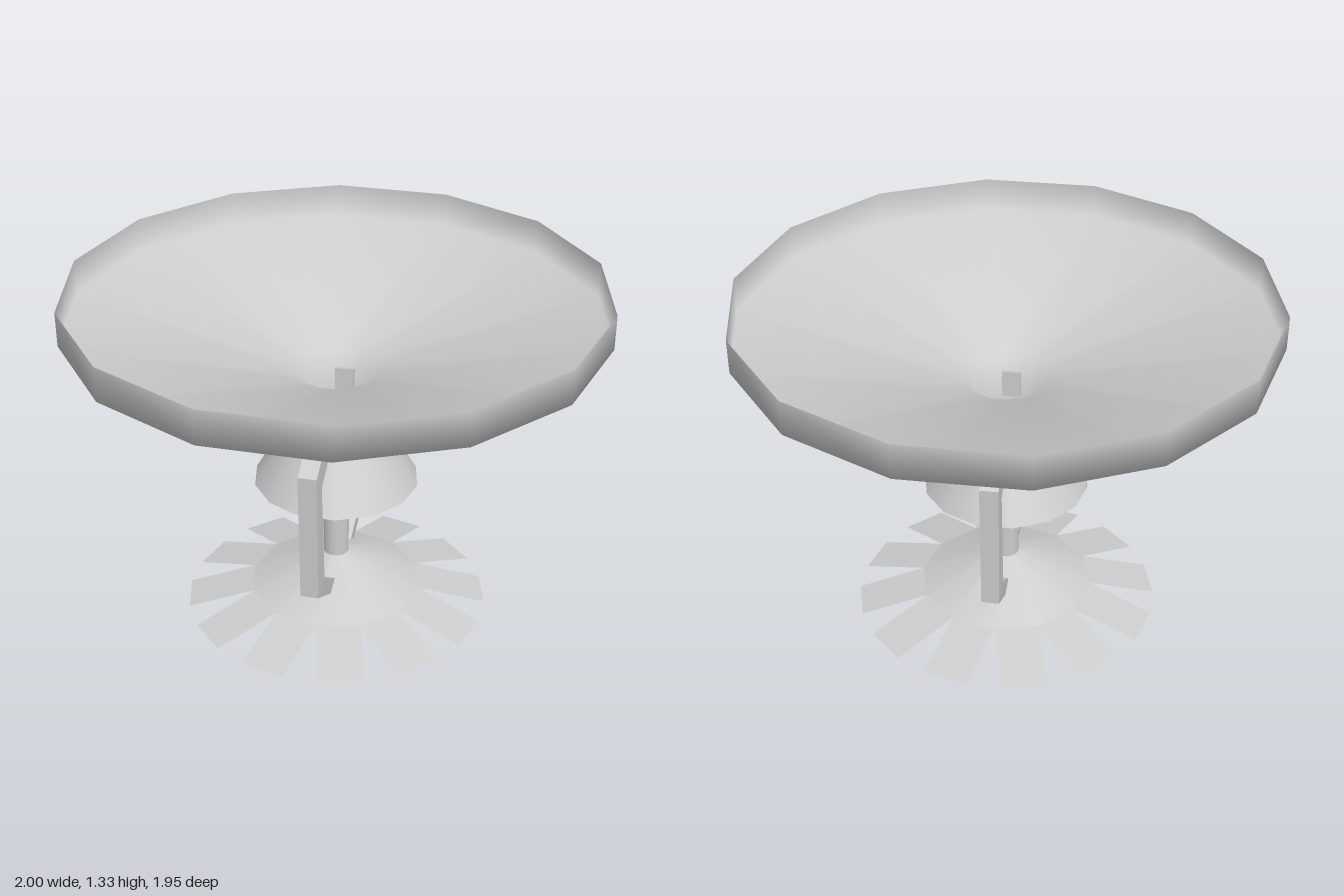
import * as THREE from 'three';

const material = new THREE.MeshStandardMaterial({ color: 0xcccccc, side: THREE.DoubleSide });

// Revolve a [radius, height] profile, with a corner on the x axis
function lathe(name, profile, sides) {
  const points = profile.map(([r, y]) => new THREE.Vector2(r, y));
  const mesh = new THREE.Mesh(new THREE.LatheGeometry(points, sides, Math.PI / 2), material);
  mesh.name = name;
  return mesh;
}

// Bent bracket: side outline in (z, y), extruded across x, narrowing at its foot
function armGeometry() {
  const outline = [
    [0.133, 0.935], [0.155, 0.93], [0.435, 0.787], [0.42, 0.267], [0.155, 0.105],
    [0.125, 0.155], [0.325, 0.293], [0.36, 0.71], [0.155, 0.825], [0.133, 0.83],
  ];
  const shape = new THREE.Shape(outline.map(([z, y]) => new THREE.Vector2(z, y)));
  const geometry = new THREE.ExtrudeGeometry(shape, { depth: 0.07, bevelEnabled: false });
  geometry.translate(0, 0, -0.035).rotateY(-Math.PI / 2);
  const p = geometry.attributes.position;
  for (let i = 0; i < p.count; i++) {
    const t = THREE.MathUtils.clamp((0.29 - p.getY(i)) / 0.18, 0, 1);
    p.setX(i, p.getX(i) * (1 - 0.3 * t));
  }
  geometry.computeVertexNormals();
  return geometry;
}

export function createModel() {
  const model = new THREE.Group();
  model.name = 'sprinklerHead';

  // Neck flaring into a shallow dish with an upright rim, one open smooth surface
  model.add(lathe('dishAndNeck', [[0.157, 0.72], [0.157, 1.0], [1, 1.2], [1, 1.33]], 14));

  // Hollow bell under the neck, with a flat lid
  model.add(lathe('bell', [[0.315, 0.54], [0.21, 0.725]], 14));
  model.add(lathe('bellLid', [[0.21, 0.725], [0, 0.725]], 14));

  // Central post
  model.add(lathe('post', [[0.05, 0.18], [0.05, 0.725]], 14));

  // Deflector cone and its flat underside
  const sides = 12, coneRadius = 0.335, coneBase = 0.07, tipRadius = 0.58;
  model.add(lathe('deflectorCone', [[coneRadius, coneBase], [0.05, 0.205]], sides));
  model.add(lathe('deflectorBase', [[0, coneBase], [coneRadius, coneBase]], sides));

  // Ring of sloping blades, one on each edge of the cone
  const half = Math.PI / sides;
  const inner = coneRadius * Math.cos(half);
  const run = tipRadius - inner;
  const blade = new THREE.PlaneGeometry(2 * coneRadius * Math.sin(half), Math.hypot(run, coneBase));
  blade.rotateX(-Math.PI / 2 + Math.atan2(coneBase, run));
  blade.translate(0, coneBase / 2, inner + run / 2);
  const blades = new THREE.Group();
  blades.name = 'deflectorBlades';
  for (let i = 0; i < sides; i++) {
    const mesh = new THREE.Mesh(blade, material);
    mesh.name = 'blade';
    mesh.rotation.y = (2 * i + 1) * half;
    blades.add(mesh);
  }
  model.add(blades);

  // Front and back arms joining the neck to the deflector
  const arm = armGeometry();
  ['frontArm', 'backArm'].forEach((name, i) => {
    const mesh = new THREE.Mesh(arm, material);
    mesh.name = name;
    mesh.rotation.y = i * Math.PI;
    mesh.position.z = 0.005;
    model.add(mesh);
  });

  return model;
}
